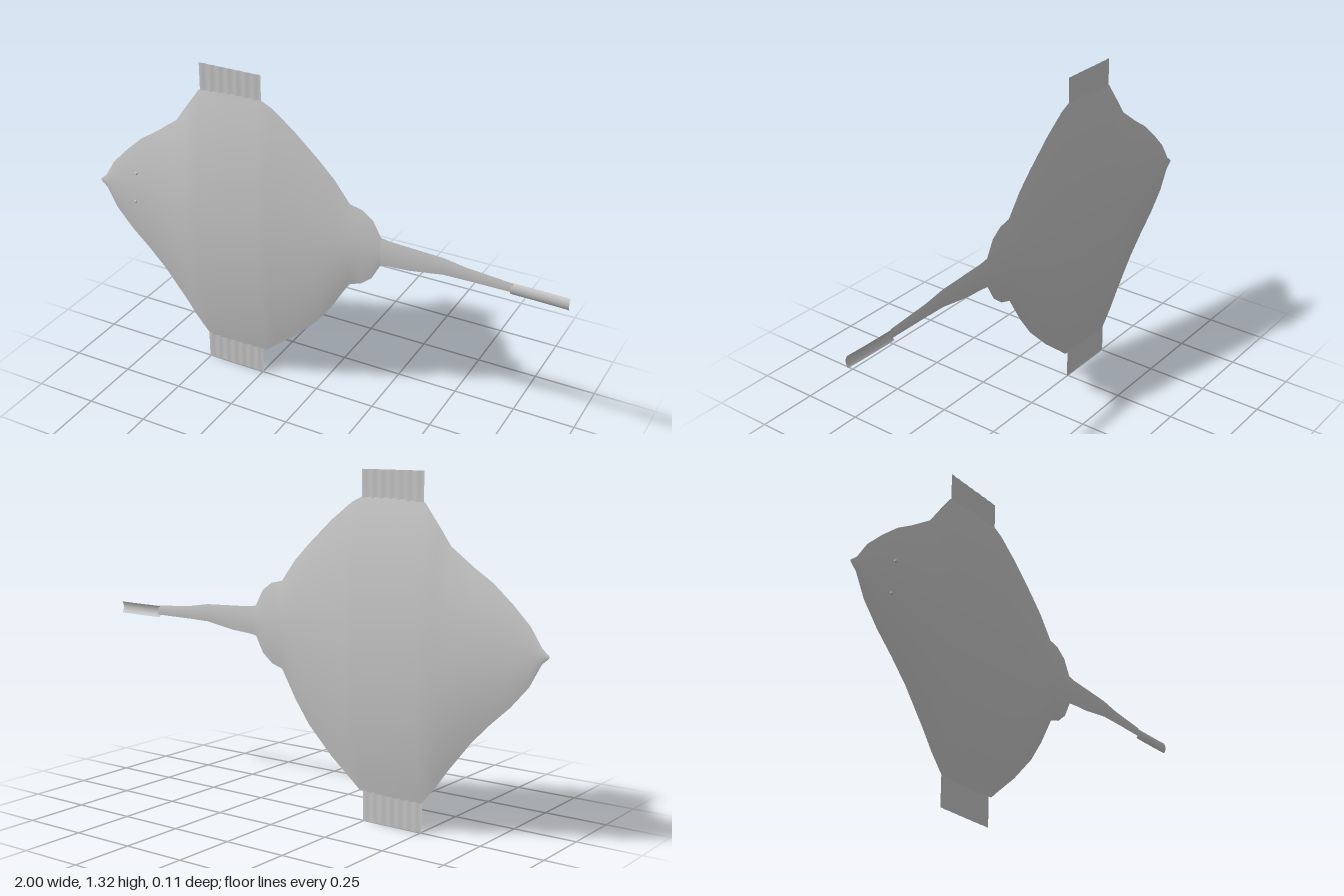
import * as THREE from 'three';

const skin = new THREE.MeshStandardMaterial({ color: 0xc4c4c4, side: THREE.DoubleSide });
skin.name = 'grey skin';

// Cross-sections from nose to tail: x, lower edge, upper edge, half thickness
const body = [
  [-0.997, 0.704, 0.712, 0.001], [-0.97, 0.68, 0.735, 0.004], [-0.925, 0.596, 0.805, 0.009],
  [-0.855, 0.516, 0.875, 0.016], [-0.78, 0.447, 0.94, 0.024], [-0.705, 0.37, 0.988, 0.032],
  [-0.61, 0.25, 1.056, 0.043], [-0.56, 0.18, 1.125, 0.049], [-0.5, 0.11, 1.205, 0.055],
  [-0.365, 0.11, 1.215, 0.055], [-0.23, 0.115, 1.215, 0.055], [-0.187, 0.152, 1.195, 0.051],
  [-0.096, 0.227, 1.126, 0.042], [0.01, 0.334, 1.03, 0.032], [0.075, 0.425, 0.965, 0.025],
  [0.14, 0.537, 0.88, 0.018], [0.19, 0.553, 0.869, 0.014], [0.235, 0.59, 0.837, 0.009],
  [0.27, 0.655, 0.773, 0.005],
];
const tail = [
  [0.27, 0.655, 0.773, 0.005], [0.305, 0.66, 0.767, 0.004], [0.39, 0.666, 0.763, 0.003],
  [0.52, 0.687, 0.757, 0.003], [0.61, 0.689, 0.742, 0.002], [0.79, 0.69, 0.727, 0.002],
];

function named(name, geometry) {
  const mesh = new THREE.Mesh(geometry, skin);
  mesh.name = name;
  return mesh;
}

// One lens-shaped half (side 1 = front, -1 = back) lofted through the sections
function sheet(sections, side, n = 24) {
  const pos = [], index = [];
  for (const [x, lo, hi, t] of sections) {
    for (let j = 0; j <= n; j++) {
      const u = (j / n) * 2 - 1;
      pos.push(x, lo + (hi - lo) * (j / n), side * t * (1 - u * u));
    }
  }
  for (let i = 0; i < sections.length - 1; i++) {
    for (let j = 0; j < n; j++) {
      const a = i * (n + 1) + j, b = a + n + 1;
      if (side > 0) index.push(a, b, b + 1, a, b + 1, a + 1);
      else index.push(a, b + 1, b, a, a + 1, b + 1);
    }
  }
  const g = new THREE.BufferGeometry();
  g.setAttribute('position', new THREE.Float32BufferAttribute(pos, 3));
  g.setIndex(index);
  g.computeVertexNormals();
  return g;
}

// Thin sheet whose depth follows a rule
function bentPlane(x0, x1, y0, y1, nx, ny, depth) {
  const g = new THREE.PlaneGeometry(x1 - x0, y1 - y0, nx, ny);
  g.translate((x0 + x1) / 2, (y0 + y1) / 2, 0);
  const p = g.attributes.position;
  for (let i = 0; i < p.count; i++) {
    const u = (p.getX(i) - x0) / (x1 - x0), v = (p.getY(i) - y0) / (y1 - y0);
    p.setZ(i, depth(u, v));
  }
  g.computeVertexNormals();
  return g;
}

export function createModel() {
  const ray = new THREE.Group();
  ray.name = 'ray';

  // Body and tail
  for (const [side, label] of [[1, 'Front'], [-1, 'Back']]) {
    ray.add(named('body' + label, sheet(body, side)));
    ray.add(named('tail' + label, sheet(tail, side, 8)));
  }

  // Faintly rippled wing tip flaps
  const ripple = (u) => 0.001 * Math.sin(u * Math.PI * 14);
  ray.add(named('upperWingFlap', bentPlane(-0.495, -0.23, 1.205, 1.315, 56, 1, ripple)));
  ray.add(named('lowerWingFlap', bentPlane(-0.505, -0.245, 0, 0.12, 56, 1, ripple)));

  // Shallow curved tail end
  ray.add(named('tailTip', bentPlane(0.78, 1, 0.68, 0.727, 8, 10,
    (u, v) => 0.01 * u * u * 0.5 + 0.008 * (1 - (2 * v - 1) ** 2) - 0.004)));

  // Small eyes on the front
  for (const [name, x, y] of [['upperEye', -0.803, 0.79], ['lowerEye', -0.817, 0.66]]) {
    const eye = named(name, new THREE.SphereGeometry(0.006, 12, 8));
    eye.position.set(x, y, 0.02);
    ray.add(eye);
  }
  return ray;
}
